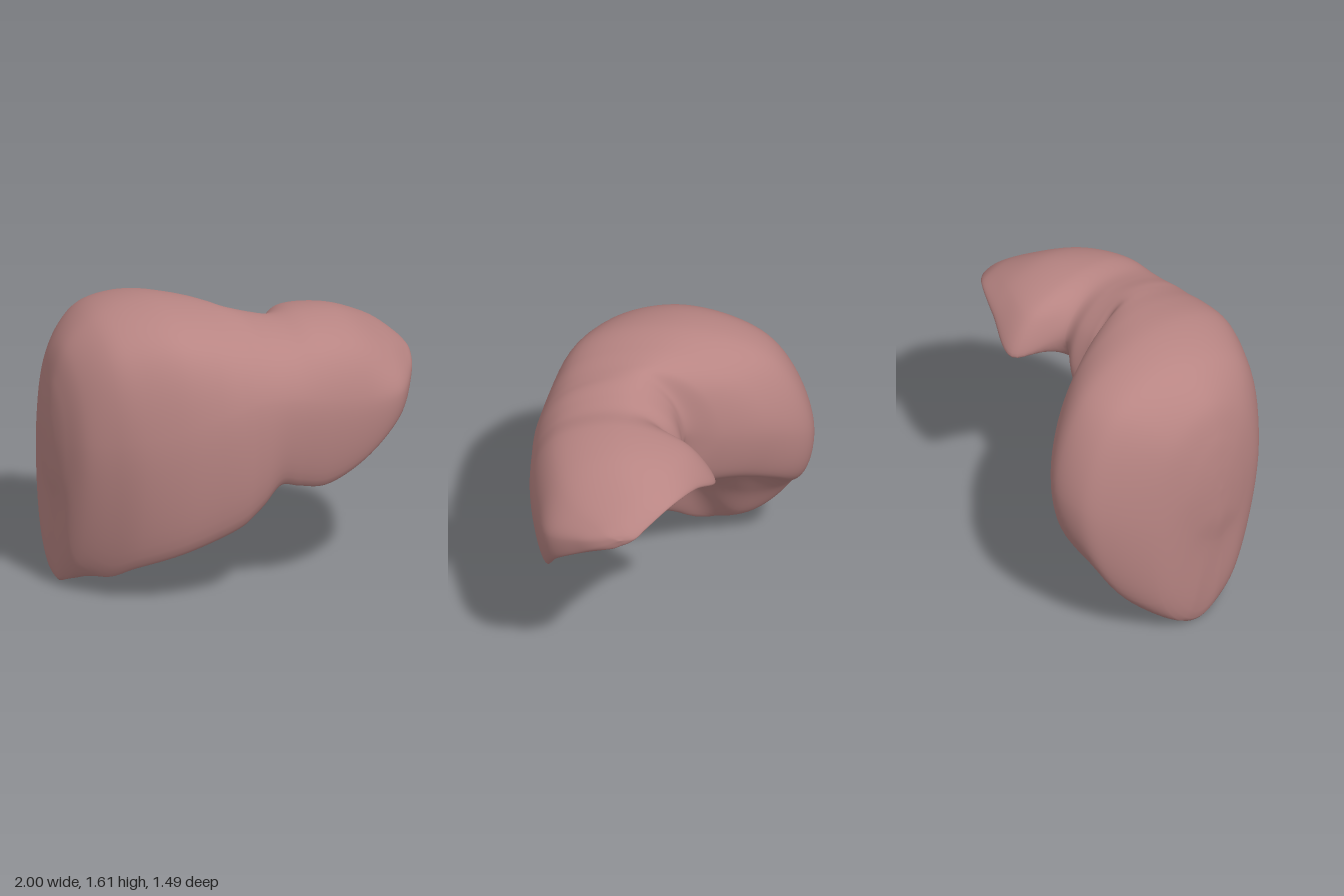
import * as THREE from 'three';
import { mergeVertices } from 'three/addons/utils/BufferGeometryUtils.js';

const AROUND = 100, STEPS = 8;

// Each section: x, then ten (z, y) landmarks running
// crest, front shoulder, belly, lower rim, inner rim, hollow, inner back, lower back, back, rear shoulder.
const rightLobe = [
  [-0.993, 0, 1.02, .06, .98, .09, .87, .06, .72, .03, .68, 0, .66, -.03, .68, -.06, .72, -.09, .87, -.06, .98],
  [-0.97, 0, 1.19, .14, 1.09, .2, .87, .15, .6, .06, .53, 0, .5, -.08, .53, -.17, .62, -.22, .87, -.15, 1.09],
  [-0.91, 0, 1.37, .25, 1.23, .35, .88, .19, .22, .06, .07, -.08, .005, -.22, .05, -.35, .24, -.41, .8, -.28, 1.23],
  [-0.78, 0, 1.51, .37, 1.37, .485, .9, .28, .13, .18, .13, -.04, .33, -.3, .13, -.51, .28, -.61, .82, -.42, 1.35],
  [-0.65, 0, 1.575, .44, 1.43, .58, .93, .43, .21, .34, .23, -.03, .45, -.38, .38, -.63, .48, -.72, .9, -.5, 1.41],
  [-0.45, 0, 1.61, .52, 1.47, .668, 1, .56, .3, .46, .33, 0, .56, -.35, .65, -.64, .62, -.73, .95, -.52, 1.42],
  [-0.25, .05, 1.595, .55, 1.46, .715, 1.08, .625, .39, .5, .43, .12, .65, -.2, .73, -.43, .8, -.53, 1.07, -.36, 1.42],
];
const middle = [
  [-0.12, .12, 1.57, .56, 1.44, .73, 1.13, .655, .46, .5, .52, .2, .73, 0, .77, -.17, .9, -.27, 1.13, -.16, 1.42],
  [-0.06, .17, 1.555, .57, 1.43, .733, 1.15, .66, .51, .51, .57, .24, .77, .12, .84, .02, .95, -.09, 1.17, .0, 1.42],
  [0, .2, 1.54, .57, 1.43, .734, 1.16, .665, .57, .52, .62, .28, .79, .05, .79, -.04, .95, -.07, 1.16, .0, 1.4],
  [0.1, .21, 1.51, .58, 1.41, .734, 1.16, .66, .67, .53, .72, .3, .82, .06, .78, -.03, .95, -.075, 1.16, .0, 1.38],
  [0.2, .22, 1.49, .59, 1.4, .735, 1.15, .65, .65, .54, .72, .36, .8, .2, .84, .11, .99, -.03, 1.24, .03, 1.38],
];
const leftLobe = [
  [0.36, .25, 1.505, .6, 1.4, .73, 1.12, .64, .63, .56, .69, .39, .9, .15, 1.08, -.08, 1.23, -.27, 1.165, -.13, 1.39],
  [0.6, .24, 1.47, .56, 1.35, .68, 1.09, .62, .74, .56, .81, .42, .98, .2, 1.17, -.01, 1.27, -.185, 1.28, -.06, 1.41],
  [0.82, .22, 1.36, .46, 1.27, .605, 1.1, .57, .94, .5, .97, .39, 1.05, .22, 1.16, .06, 1.26, -.06, 1.31, .05, 1.36],
  [0.94, .21, 1.275, .33, 1.235, .43, 1.15, .41, 1.08, .36, 1.08, .28, 1.11, .2, 1.15, .12, 1.2, .06, 1.25, .12, 1.275],
  [0.985, .2, 1.23, .27, 1.215, .31, 1.18, .31, 1.145, .28, 1.135, .23, 1.14, .19, 1.16, .15, 1.18, .12, 1.21, .15, 1.228],
];

// Smooth closed ring through a section's landmarks
function ring([x, ...zy]) {
  const pts = [];
  for (let k = 0; k < zy.length; k += 2) pts.push(new THREE.Vector3(x, zy[k + 1], zy[k]));
  const curve = new THREE.CatmullRomCurve3(pts, true);
  return Array.from({ length: AROUND }, (_, j) => curve.getPoint(j / AROUND));
}

// Skin through all rings, closed to a point at each end
function loft(rings, start, end) {
  const rows = (rings.length + 1) * STEPS;
  const pos = new Float32Array((rows + 1) * AROUND * 3), index = [];
  for (let j = 0; j < AROUND; j++) {
    const rail = new THREE.CatmullRomCurve3([start, ...rings.map(r => r[j]), end]);
    for (let i = 0; i <= rows; i++) rail.getPoint(i / rows).toArray(pos, (i * AROUND + j) * 3);
  }
  for (let i = 0; i < rows; i++) for (let j = 0; j < AROUND; j++) {
    const k = (j + 1) % AROUND;
    const a = i * AROUND + j, b = i * AROUND + k, c = a + AROUND, d = b + AROUND;
    index.push(a, b, c, b, d, c);
  }
  let geo = new THREE.BufferGeometry();
  geo.setAttribute('position', new THREE.BufferAttribute(pos, 3));
  geo.setIndex(index);
  geo = mergeVertices(geo, 1e-5);
  geo.computeVertexNormals();
  return geo;
}

export function createModel() {
  const group = new THREE.Group();
  group.name = 'liver';
  const material = new THREE.MeshStandardMaterial({ color: 0xb88583 });

  // Both lobes as one continuous body
  const body = new THREE.Mesh(loft(
    [...rightLobe, ...middle, ...leftLobe].map(ring),
    new THREE.Vector3(-1, .85, 0), new THREE.Vector3(1, 1.2, .2)), material);
  body.name = 'lobes';
  group.add(body);

  // Short vessel stubs at the hollow on the underside
  [[-.02, .77, .26], [.04, .79, .22], [.05, .77, .29]].forEach(([x, y, z], i) => {
    const stub = new THREE.Mesh(new THREE.CapsuleGeometry(.018, .05, 6, 16), material);
    stub.position.set(x, y, z);
    stub.rotation.x = .5;
    stub.name = 'vesselStub' + (i + 1);
    group.add(stub);
  });
  return group;
}
